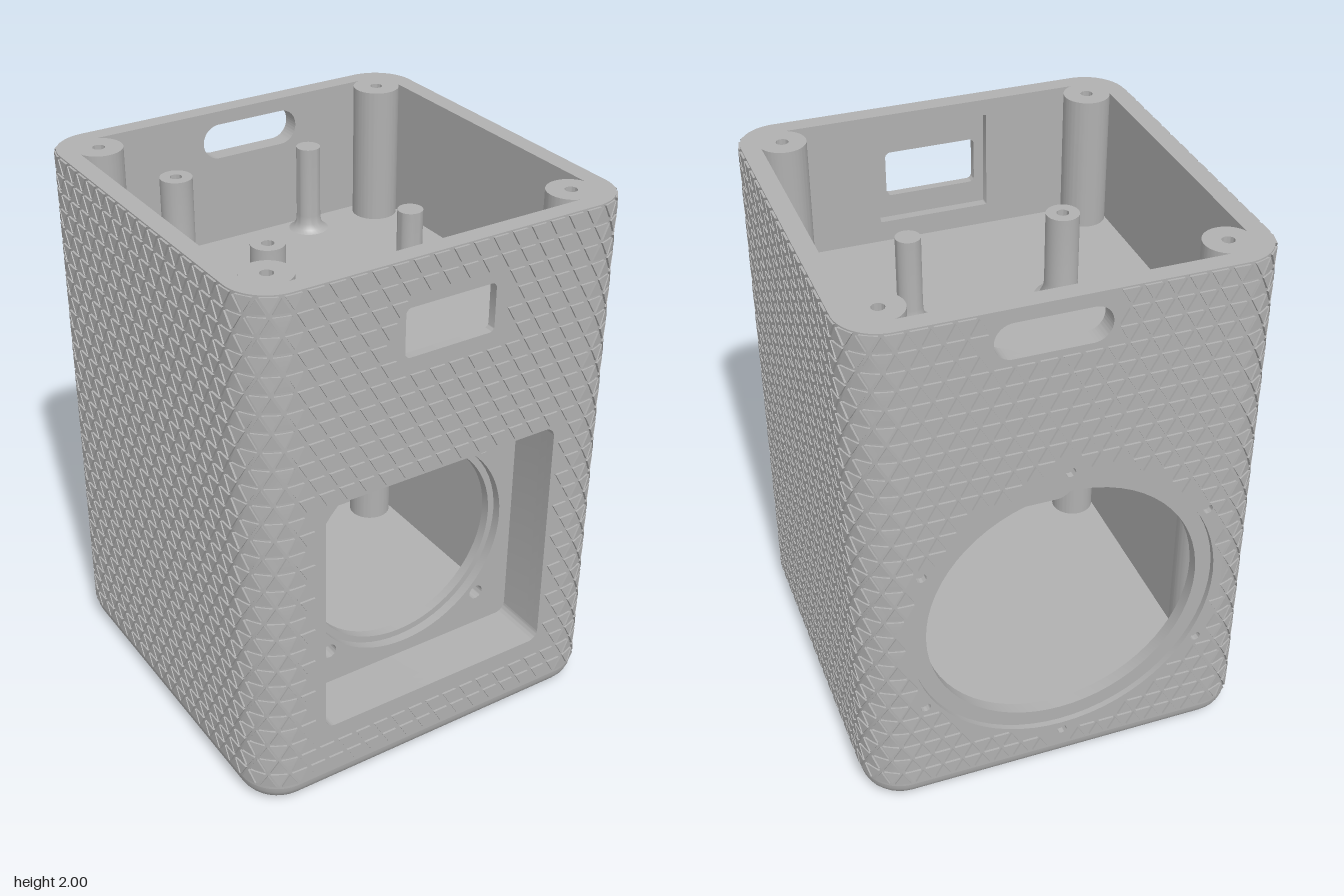
import * as THREE from 'three';
import { toCreasedNormals } from 'three/addons/utils/BufferGeometryUtils.js';

const OUT = 0.722, IN = 0.655, R = 0.15, FLAT = OUT - R; // shell half sizes, corner radius
const FLOOR = 0.07, TOP = 2, DECK = 1.49, CY = 0.74;     // heights; CY is the port centre

const shellGrey = new THREE.MeshStandardMaterial({ color: 0xb0b0b0 });
shellGrey.name = 'shell grey';

function add(parent, name, geo, crease = 0.6) {
  const mesh = new THREE.Mesh(toCreasedNormals(geo, crease), shellGrey);
  mesh.name = name;
  parent.add(mesh);
  return mesh;
}

// Rounded rectangle outline centred on (cx, cy)
function roundRect(cx, cy, w, h, r, Type = THREE.Path) {
  const p = new Type(), a = w / 2 - r, b = h / 2 - r, q = Math.PI / 2;
  p.moveTo(cx + a + r, cy - b);
  [[1, 1], [-1, 1], [-1, -1], [1, -1]].forEach(([sx, sy], i) =>
    p.absarc(cx + sx * a, cy + sy * b, r, i * q, (i + 1) * q, false));
  p.closePath();
  return p;
}
const circle = (x, y, r) => new THREE.Path().absarc(x, y, r, 0, Math.PI * 2, false);

function plate(shape, holes, z0, z1) {
  shape.holes.push(...holes);
  return new THREE.ExtrudeGeometry(shape, { depth: z1 - z0, bevelEnabled: false, curveSegments: 32 })
    .translate(0, 0, z0);
}
function rect(x0, y0, x1, y1) {
  return new THREE.Shape([[x0, y0], [x1, y0], [x1, y1], [x0, y1]].map(p => new THREE.Vector2(...p)));
}

// Point on the outer perimeter at arc length s, pushed out by d
const SIDE = 2 * FLAT, QUARTER = SIDE + R * Math.PI / 2, PERIM = 4 * QUARTER;
function around(s, y, d) {
  s = (s + PERIM) % PERIM;
  const k = Math.floor(s / QUARTER), t = s - k * QUARTER;
  const a = Math.max(0, (t - SIDE) / R);
  const x = Math.min(t, SIDE) - FLAT + (R + d) * Math.sin(a);
  const z = FLAT + (R + d) * Math.cos(a);
  return new THREE.Vector3(x, y, z).applyAxisAngle(new THREE.Vector3(0, 1, 0), k * Math.PI / 2);
}

function fromTriangles(points) {
  return new THREE.BufferGeometry().setFromPoints(points);
}

// Closed base slab with a rounded lower edge
function baseGeometry() {
  const stops = [], tris = [], f = FLOOR;
  for (let k = 0; k < 4; k++) {
    stops.push(k * QUARTER);
    for (let i = 0; i < 8; i++) stops.push(k * QUARTER + SIDE + (QUARTER - SIDE) * i / 8);
  }
  const rings = [];
  for (let i = 0; i <= 6; i++) {
    const a = i / 6 * Math.PI / 2;
    rings.push(stops.map(s => around(s, f * (1 - Math.cos(a)), f * (Math.sin(a) - 1))));
  }
  const n = stops.length, low = new THREE.Vector3(), high = new THREE.Vector3(0, f, 0);
  for (let j = 0; j < n; j++) {
    const m = (j + 1) % n;
    for (let i = 0; i < 6; i++) {
      const [a, b, c, d] = [rings[i][j], rings[i][m], rings[i + 1][m], rings[i + 1][j]];
      tris.push(a, b, c, a, c, d);
    }
    tris.push(low, rings[0][m], rings[0][j], high, rings[6][j], rings[6][m]);
  }
  return fromTriangles(tris);
}

// Six screw positions around the rear port
const rearScrews = [...Array(6)].map((_, i) => {
  const a = Math.PI / 6 + i * Math.PI / 3;
  return [0.595 * Math.cos(a), CY + 0.595 * Math.sin(a)];
});

// Areas kept free of texture
function isClear(p) {
  const inside = (cx, cy, w, h) => Math.abs(p.x - cx) < w / 2 && Math.abs(p.y - cy) < h / 2;
  if (p.z > 0.7) return inside(0, CY, 0.95, 0.95) || inside(0, 1.745, 0.37, 0.2);
  if (p.z < -0.7) return Math.hypot(p.x, p.y - CY) < 0.57 || inside(0.07, 1.885, 0.42, 0.16) ||
    rearScrews.some(([x, y]) => Math.hypot(p.x - x, p.y - y) < 0.03);
  return false;
}

// Raised triangles wrapped round the four sides
function textureGeometry() {
  const cols = 74, rows = 29, w = PERIM / cols, h = (TOP - 0.08) / rows, shrink = 0.76, tris = [];
  for (let r = 0; r < rows; r++) for (let c = 0; c < cols; c++) for (const up of [true, false]) {
    const s = (c + (r % 2) / 2) * w, y = 0.08 + r * h;
    const flat = up ? [[s, y], [s + w, y], [s + w / 2, y + h]]
      : [[s + w, y], [s + w * 1.5, y + h], [s + w / 2, y + h]];
    const ms = (flat[0][0] + flat[1][0] + flat[2][0]) / 3, my = (flat[0][1] + flat[1][1] + flat[2][1]) / 3;
    const lift = d => flat.map(([u, v]) => around(ms + (u - ms) * shrink, my + (v - my) * shrink, d));
    const cap = lift(0.008), foot = lift(-0.002);
    if (cap.some(isClear)) continue;
    tris.push(...cap);
    for (let i = 0; i < 3; i++) {
      const j = (i + 1) % 3;
      tris.push(foot[i], foot[j], cap[j], foot[i], cap[j], cap[i]);
    }
  }
  return fromTriangles(tris);
}

export function createModel() {
  const model = new THREE.Group();
  model.name = 'enclosure';
  const W = 0.575;
  const panel = () => rect(-W, FLOOR, W, TOP);
  const recess = () => roundRect(0, CY, 0.925, 0.925, 0.04);

  add(model, 'base', baseGeometry());

  // Front wall in two layers, with a wider pocket behind the display window
  add(model, 'frontWallOuter', plate(panel(), [recess(), roundRect(0, 1.745, 0.345, 0.175, 0.02)], 0.69, OUT));
  add(model, 'frontWallInner', plate(panel(), [recess(), roundRect(0, 1.755, 0.42, 0.37, 0.005)], IN, 0.69));

  // Sunken driver mount with a stepped round opening
  const mountOuter = () => roundRect(0, CY, 1.06, 1.06, 0.08, THREE.Shape);
  const screws = () => [[-1, -1], [1, -1], [1, 1], [-1, 1]].map(([a, b]) => circle(a * 0.322, CY + b * 0.322, 0.028));
  add(model, 'driverMountFrame', plate(mountOuter(), [recess()], 0.52, IN));
  add(model, 'driverMountFront', plate(mountOuter(), [circle(0, CY, 0.41), ...screws()], 0.485, 0.52));
  add(model, 'driverMountBack', plate(mountOuter(), [circle(0, CY, 0.385), ...screws()], 0.45, 0.485));

  // Rear wall with a rebated round port and a cable slot
  const slot = () => roundRect(0.07, 1.885, 0.39, 0.13, 0.064);
  add(model, 'rearWallOuter', plate(panel(),
    [circle(0, CY, 0.56), slot(), ...rearScrews.map(([x, y]) => circle(x, y, 0.018))], -OUT, -0.7));
  add(model, 'rearWallInner', plate(panel(), [circle(0, CY, 0.5), slot()], -0.7, -IN));

  // Plain side walls
  for (const s of [-1, 1]) {
    add(model, s > 0 ? 'leftWall' : 'rightWall', new THREE.BoxGeometry(OUT - IN, TOP - FLOOR, 2 * W)
      .translate(s * (OUT + IN) / 2, (TOP + FLOOR) / 2, 0));
  }

  // Rounded corners, each with a screw post
  for (let k = 0; k < 4; k++) {
    const c = new THREE.Shape();
    c.moveTo(OUT, FLAT);
    c.absarc(FLAT, FLAT, R, 0, Math.PI / 2, false);
    c.absarc(W, W, 0.085, Math.PI / 2, Math.PI * 2, false);
    c.closePath();
    add(model, 'cornerPost', plate(c, [circle(W, W, 0.022)], FLOOR, TOP)
      .rotateX(-Math.PI / 2).rotateY(k * Math.PI / 2));
  }

  // Shelf dividing the two chambers, with a wire hole
  add(model, 'shelf', plate(rect(-IN, -IN, IN, IN), [circle(-0.42, 0.19, 0.048)], DECK - 0.07, DECK)
    .rotateX(-Math.PI / 2));

  // Standoffs on the shelf
  const lathe = pts => new THREE.LatheGeometry(pts.map(p => new THREE.Vector2(...p)), 32);
  for (const z of [-0.585, 0.07]) {
    add(model, 'screwStandoff', lathe([[0.095, DECK], [0.075, 1.5], [0.064, 1.52], [0.06, 1.55], [0.06, 1.82],
      [0.022, 1.82], [0.022, 1.62], [0, 1.62]])).position.set(-0.28, 0, z);
  }
  for (const z of [-0.58, 0.095]) {
    add(model, 'supportStandoff', lathe([[0.075, DECK], [0.058, 1.5], [0.048, 1.52], [0.045, 1.55], [0.045, 1.82],
      [0, 1.82]])).position.set(0.275, 0, z);
  }

  add(model, 'triangleTexture', textureGeometry(), 0.3);
  return model;
}
